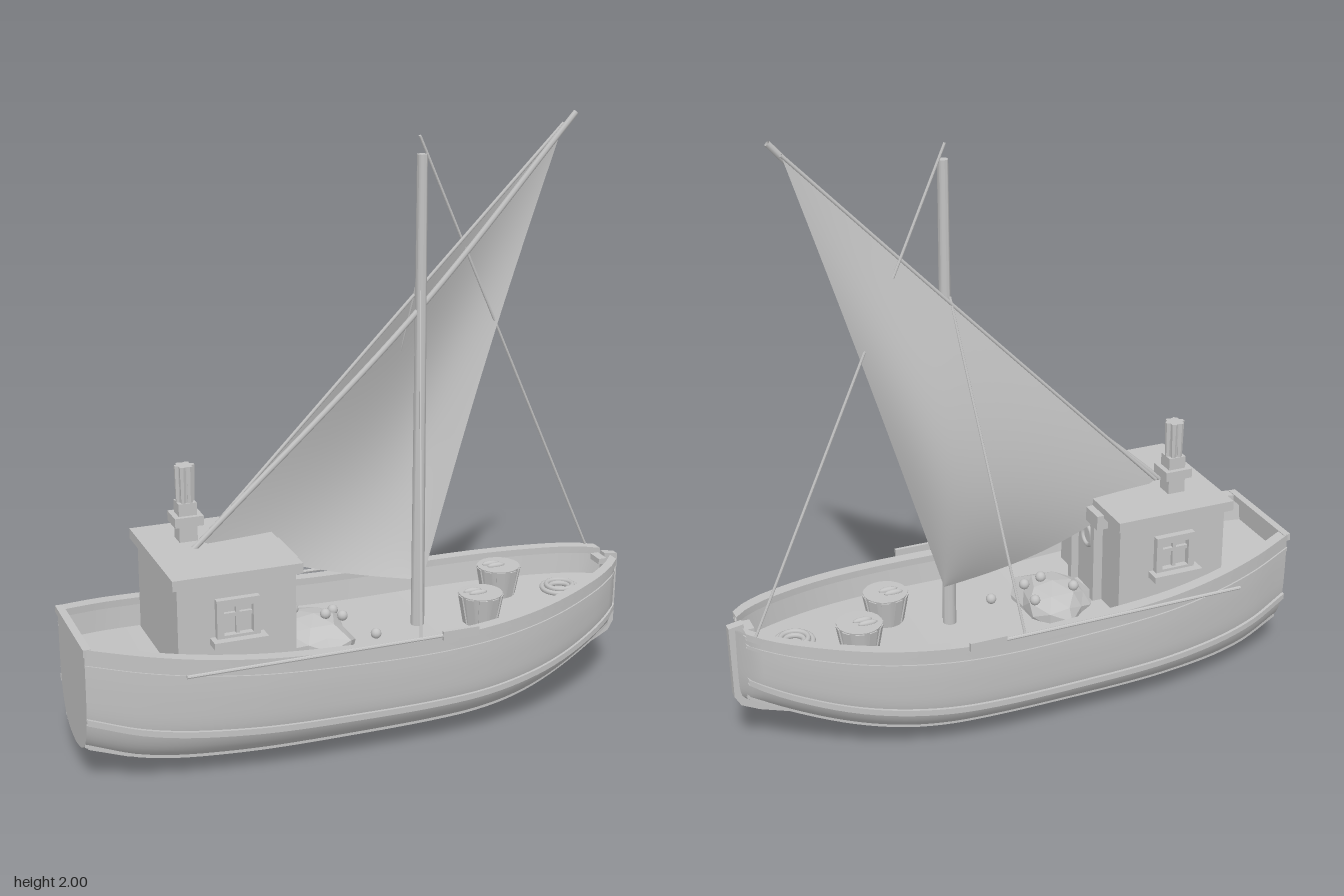
import * as THREE from 'three';
import { toCreasedNormals } from 'three/addons/utils/BufferGeometryUtils.js';

const grey = new THREE.MeshStandardMaterial({ color: 0xc2c2c2, side: THREE.DoubleSide });
grey.name = 'plainGrey';
const V = (x, y, z) => new THREE.Vector3(x, y, z);

// Smooth interpolation through a short table of [x, value]
function table(p) {
  const slope = i => {
    const a = p[Math.max(0, i - 1)], b = p[Math.min(p.length - 1, i + 1)];
    return (b[1] - a[1]) / (b[0] - a[0]);
  };
  return x => {
    let i = 0;
    while (i < p.length - 2 && x > p[i + 1][0]) i++;
    const h = p[i + 1][0] - p[i][0], t = (x - p[i][0]) / h, u = 1 - t;
    return p[i][1] * (1 + 2 * t) * u * u + slope(i) * h * t * u * u
      + p[i + 1][1] * t * t * (3 - 2 * t) - slope(i + 1) * h * t * t * u;
  };
}

// Surface through a grid of points, fn(u, v) with u and v from 0 to 1
function grid(nu, nv, fn) {
  const pos = [], idx = [];
  for (let i = 0; i <= nu; i++) for (let j = 0; j <= nv; j++) pos.push(...fn(i / nu, j / nv));
  for (let i = 0; i < nu; i++) for (let j = 0; j < nv; j++) {
    const a = i * (nv + 1) + j, b = a + nv + 1;
    idx.push(a, b, a + 1, b, b + 1, a + 1);
  }
  const g = new THREE.BufferGeometry();
  g.setAttribute('position', new THREE.Float32BufferAttribute(pos, 3));
  g.setIndex(idx);
  g.computeVertexNormals();
  return g;
}

// Hull lines: half width, sheer and keel height along x, and the section shape
const BACK = -0.965, RAIL_END = 0.925, BOW = 0.945;
const half = table([[BACK, 0.18], [-0.8, 0.245], [-0.6, 0.295], [-0.4, 0.322], [-0.1, 0.327], [0.2, 0.326],
  [0.4, 0.307], [0.6, 0.258], [0.8, 0.17], [0.9, 0.1], [RAIL_END, 0.07], [BOW, 0.012]]);
const sheer = table([[BACK, 0.465], [-0.6, 0.42], [-0.2, 0.393], [0.15, 0.385], [0.5, 0.403], [BOW, 0.452]]);
const keelY = table([[BACK, 0.09], [-0.8, 0.045], [-0.6, 0.03], [0.25, 0.03], [0.5, 0.055], [0.7, 0.1], [BOW, 0.195]]);
const secZ = table([[0, 0], [0.2, 0.46], [0.4, 0.78], [0.6, 0.95], [0.8, 0.995], [1, 1]]);
const secY = table([[0, 0], [0.2, 0.045], [0.4, 0.165], [0.6, 0.38], [0.8, 0.68], [1, 1]]);
const hull = (x, s) => {
  const sharp = 1 + 0.8 * THREE.MathUtils.smoothstep(x, 0.4, BOW);
  return [x, keelY(x) + (sheer(x) - keelY(x)) * secY(s), half(x) * Math.pow(Math.max(0, secZ(s)), sharp)];
};
const along = (u, end) => BACK + (end - BACK) * u;

export function createModel() {
  const root = new THREE.Group();
  root.name = 'fishingBoat';
  const add = (name, geo, x = 0, y = 0, z = 0, parent = root) => {
    const m = new THREE.Mesh(geo, grey);
    m.name = name;
    m.position.set(x, y, z);
    parent.add(m);
    return m;
  };
  const box = (name, w, h, d, x, y, z, parent) => add(name, new THREE.BoxGeometry(w, h, d), x, y, z, parent);
  const cyl = (name, r1, r2, h, n, x, y, z, parent) =>
    add(name, toCreasedNormals(new THREE.CylinderGeometry(r1, r2, h, n), 0.9), x, y, z, parent);
  const rod = (name, a, b, r) => {
    const m = cyl(name, r, r, a.distanceTo(b), 8, 0, 0, 0);
    m.position.copy(a).lerp(b, 0.5);
    m.quaternion.setFromUnitVectors(V(0, 1, 0), b.clone().sub(a).normalize());
  };

  // Rectangular strip running along the hull at section position s
  const strip = (name, side, s, inside, outside, low, high) => add(name, toCreasedNormals(grid(48, 4, (u, v) => {
    const [x, y, z] = hull(along(u, RAIL_END), s), k = Math.round(v * 4) % 4;
    return [x, y + (k < 2 ? low : high), side * Math.max(0.004, z + (k === 0 || k === 3 ? -inside : outside))];
  }), 0.6));

  // Hull sides, bulwarks, rails, rubbing strakes, shrouds and stowed oars
  for (const side of [1, -1]) {
    add('hullSide', grid(64, 24, (u, v) => {
      const [x, y, z] = hull(along(u, BOW), v);
      return [x, y, side * z];
    }));
    add('bulwark', grid(48, 1, (u, v) => {
      const x = along(u, BOW);
      return [x, sheer(x) - 0.085 * v, side * Math.max(0.006, half(x) - 0.03 - 0.012 * v)];
    }));
    strip('gunwale', side, 1, 0.034, 0.008, -0.006, 0.018);
    strip('upperStrake', side, 0.93, 0.01, 0.006, -0.006, 0.006);
    strip('middleStrake', side, 0.61, 0.012, 0.013, -0.01, 0.01);
    strip('lowerStrake', side, 0.34, 0.01, 0.006, -0.006, 0.006);
    rod('oarShaft', V(-0.69, 0.412, side * 0.341), V(0.16, 0.412, side * 0.341), 0.006);
    box('oarBlade', 0.125, 0.03, 0.012, 0.217, 0.412, side * 0.341);
    rod('shroud', V(0.205, 1.46, side * 0.018), V(0.085, 0.41, side * 0.325), 0.0045);
  }
  add('transom', grid(20, 2, (u, v) => {
    const [x, y, z] = hull(BACK, u);
    return [x, y, z * (2 * v - 1)];
  }));
  box('sternRail', 0.025, 0.024, 0.38, -0.958, 0.471, 0);
  add('deck', grid(40, 2, (u, v) => {
    const x = along(u, BOW);
    return [x, sheer(x) - 0.078, (2 * v - 1) * Math.max(0.006, half(x) - 0.035)];
  }));

  // Keel and stem in one curved timber
  const stem = new THREE.Shape([[-0.93, 0.06], [-0.8, 0.012], [-0.7, 0], [0.28, 0], [0.5, 0.03], [0.7, 0.085],
    [0.88, 0.145], [0.94, 0.175], [0.96, 0.21], [0.965, 0.46], [0.915, 0.468], [0.915, 0.23], [0.7, 0.13],
    [0.5, 0.08], [0.28, 0.05], [-0.7, 0.05], [-0.93, 0.1]].map(p => new THREE.Vector2(...p)));
  add('keelAndStem', new THREE.ExtrudeGeometry(stem, { depth: 0.03, bevelEnabled: false }), 0, 0, -0.015);
  box('breastHook', 0.03, 0.02, 0.06, 0.9, 0.445, 0);

  // Cabin with overhanging roof
  const cabin = new THREE.Group();
  cabin.name = 'cabin';
  root.add(cabin);
  box('cabinWalls', 0.385, 0.33, 0.45, -0.49, 0.495, 0, cabin);
  box('cabinRoof', 0.42, 0.034, 0.5, -0.492, 0.672, 0, cabin);
  box('door', 0.012, 0.29, 0.14, -0.296, 0.475, 0, cabin);
  box('doorCanopy', 0.045, 0.05, 0.27, -0.28, 0.64, 0, cabin);
  for (const s of [1, -1]) box('doorPost', 0.035, 0.29, 0.025, -0.282, 0.475, s * 0.085, cabin);
  add('doorPorthole', new THREE.TorusGeometry(0.035, 0.008, 8, 20), -0.288, 0.53, 0, cabin).rotation.y = Math.PI / 2;

  // Side windows, each a frame with cross bars and a sill
  for (const s of [1, -1]) {
    const win = new THREE.Group();
    win.name = 'sideWindow';
    win.position.set(-0.493, 0.53, s * 0.23);
    cabin.add(win);
    const frame = new THREE.Shape([[-0.07, -0.065], [0.07, -0.065], [0.07, 0.072], [-0.07, 0.072]]
      .map(p => new THREE.Vector2(...p)));
    frame.holes.push(new THREE.Path([[-0.048, -0.045], [-0.048, 0.048], [0.048, 0.048], [0.048, -0.045]]
      .map(p => new THREE.Vector2(...p))));
    add('windowFrame', new THREE.ExtrudeGeometry(frame, { depth: 0.035, bevelEnabled: false }), 0, 0, -0.0175, win);
    box('windowBarUpright', 0.012, 0.095, 0.015, 0, 0, 0, win);
    box('windowBarAcross', 0.095, 0.012, 0.015, 0, 0.018, 0, win);
    box('windowSill', 0.175, 0.022, 0.075, 0, -0.065, s * 0.008, win);
  }

  // Stacked chimney with a fluted pot
  const chimney = new THREE.Group();
  chimney.name = 'chimney';
  chimney.position.set(-0.557, 0, -0.09);
  root.add(chimney);
  box('chimneyBase', 0.06, 0.065, 0.06, 0, 0.715, 0, chimney);
  box('chimneyCollar', 0.095, 0.032, 0.09, 0, 0.76, 0, chimney);
  box('chimneyNeck', 0.06, 0.045, 0.058, 0, 0.795, 0, chimney);
  cyl('chimneyPot', 0.027, 0.022, 0.122, 8, 0, 0.877, 0, chimney);
  for (let i = 0; i < 6; i++) {
    const a = i * Math.PI / 3;
    cyl('chimneyFlute', 0.012, 0.009, 0.122, 6, 0.022 * Math.cos(a), 0.877, 0.022 * Math.sin(a), chimney);
  }

  // Mast, yard, sail spar and forestay
  cyl('mast', 0.017, 0.023, 1.59, 12, 0.215, 1.095, 0);
  const yard = new THREE.CatmullRomCurve3([V(-0.56, 0.685, 0), V(0.2, 1.385, 0), V(0.75, 1.995, 0)]);
  add('yard', new THREE.TubeGeometry(yard, 24, 0.01, 8));
  const luff = new THREE.CatmullRomCurve3([V(-0.53, 0.7, -0.02), V(0.2, 1.435, -0.025), V(0.715, 1.96, -0.015)]);
  add('sailSpar', new THREE.TubeGeometry(luff, 24, 0.006, 8));
  rod('forestay', V(0.215, 1.945, -0.02), V(0.9, 0.465, -0.1), 0.0045);

  // Billowing three-cornered sail
  const tack = V(0.24, 0.455, -0.02);
  add('sail', grid(30, 30, (u, v) => {
    const p = luff.getPoint(u).lerp(tack, v), belly = Math.sin(Math.PI * v);
    p.z -= 0.11 * belly * (0.25 + 0.75 * Math.sin(Math.PI * u));
    p.y -= 0.035 * belly * (1 - u);
    return p.toArray();
  }));

  // Staved fish tubs
  for (const [x, z] of [[0.41, 0.08], [0.56, -0.095]]) {
    const tub = new THREE.Group();
    tub.name = 'fishTub';
    tub.position.set(x, sheer(x) - 0.078, z);
    root.add(tub);
    const wall = [[0, 0], [0.055, 0], [0.074, 0.105], [0, 0.105]];
    add('tubBody', toCreasedNormals(new THREE.LatheGeometry(wall.map(p => new THREE.Vector2(...p)), 20), 0.5), 0, 0, 0, tub);
    for (let i = 0; i < 10; i++) {
      const a = i * Math.PI / 5;
      const stave = box('tubStave', 0.006, 0.1, 0.028, 0.064 * Math.cos(a), 0.052, -0.064 * Math.sin(a), tub);
      stave.rotation.set(0, a, -0.18, 'YXZ');
    }
    for (const [fx, fz] of [[-0.022, -0.018], [-0.012, 0.006]]) {
      add('fish', new THREE.SphereGeometry(0.03, 12, 8), fx, 0.107, fz, tub).scale.set(1.1, 0.35, 0.35);
    }
  }

  // Coiled rope on the foredeck
  for (const [r, y] of [[0.06, 0.36], [0.045, 0.37], [0.032, 0.362]]) {
    add('ropeCoil', new THREE.TorusGeometry(r, 0.009, 8, 28), 0.75, y, 0).rotation.x = Math.PI / 2;
  }

  // Heaped net with round floats
  const net = new THREE.IcosahedronGeometry(1, 1), p = net.attributes.position;
  for (let i = 0; i < p.count; i++) {
    const x = p.getX(i), y = p.getY(i), z = p.getZ(i);
    const k = 1 + 0.18 * Math.sin(5 * x + 3 * z) * Math.cos(4 * z - 2 * y);
    p.setXYZ(i, x * k * 0.13, y * k * 0.075, z * k * 0.16);
  }
  net.computeVertexNormals();
  add('netHeap', net, -0.15, 0.32, -0.02);
  for (const [x, y, z] of [[-0.2, 0.395, -0.08], [-0.12, 0.4, 0.01], [-0.06, 0.385, 0.01], [-0.06, 0.37, -0.08], [0.04, 0.325, 0.06]]) {
    add('netFloat', new THREE.SphereGeometry(0.018, 12, 8), x, y, z);
  }
  return root;
}
